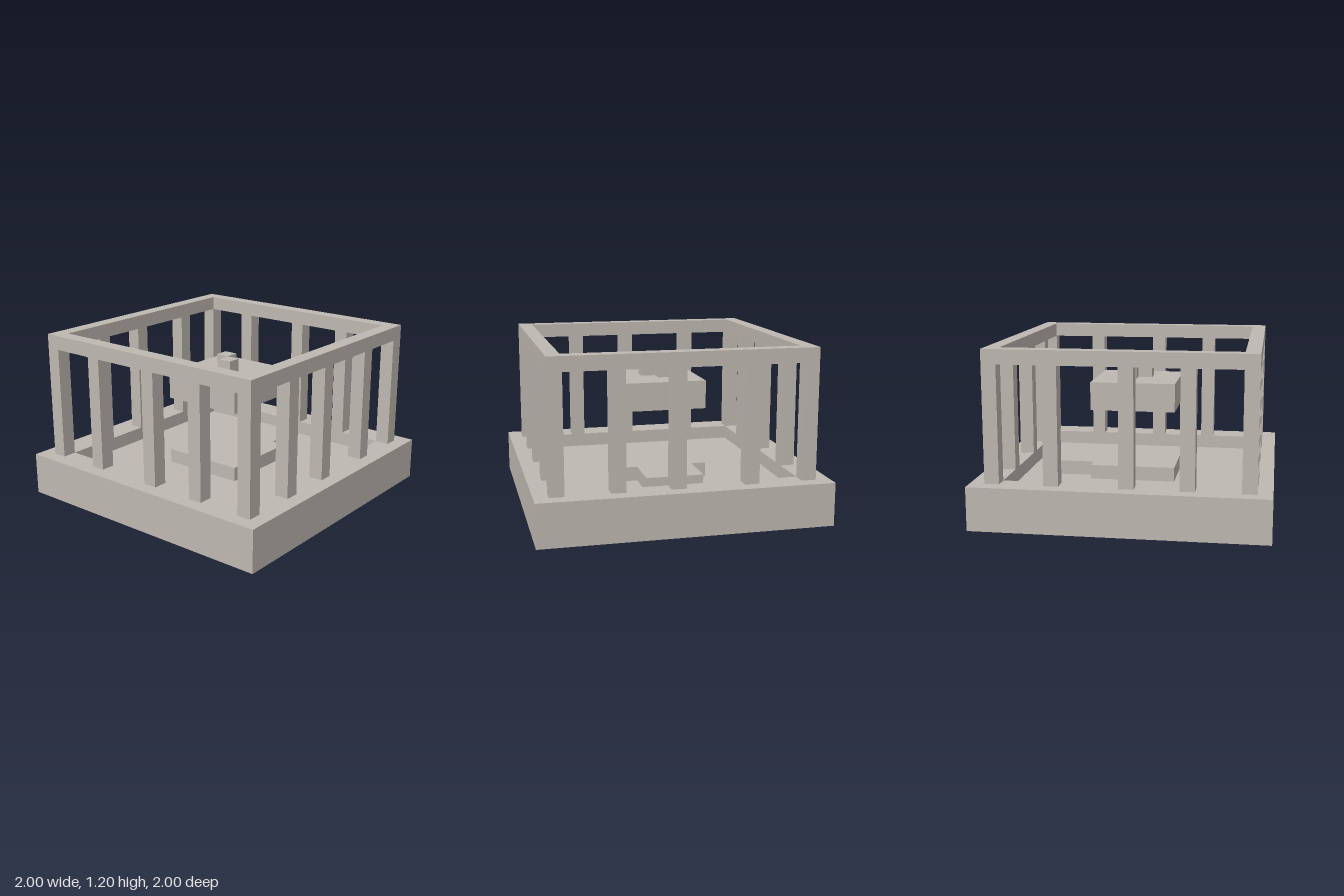
import * as THREE from 'three';

export function createModel() {
  const model = new THREE.Group();
  const stone = new THREE.MeshStandardMaterial({ color: 0xbfb8b2 });
  stone.name = 'paleStone';

  const add = (parent, name, geometry) => {
    const mesh = new THREE.Mesh(geometry, stone);
    mesh.name = name;
    parent.add(mesh);
    return mesh;
  };

  // Box given by its min and max on each axis
  const box = (parent, name, [x0, x1], [y0, y1], [z0, z1]) =>
    add(parent, name, new THREE.BoxGeometry(x1 - x0, y1 - y0, z1 - z0))
      .position.set((x0 + x1) / 2, (y0 + y1) / 2, (z0 + z1) / 2);

  const square = (Type, h) => new Type([
    new THREE.Vector2(-h, -h), new THREE.Vector2(h, -h),
    new THREE.Vector2(h, h), new THREE.Vector2(-h, h),
  ]);

  // Flat square ring lying between heights y0 and y1
  const ring = (name, outer, inner, y0, y1) => {
    const shape = square(THREE.Shape, outer);
    shape.holes.push(square(THREE.Path, inner));
    const geometry = new THREE.ExtrudeGeometry(shape, { depth: y1 - y0, bevelEnabled: false });
    geometry.rotateX(-Math.PI / 2).translate(0, y0, 0);
    add(model, name, geometry);
  };

  // Base tray with a sunken floor
  box(model, 'baseFloor', [-1, 1], [0, 0.2], [-1, 1]);
  ring('baseRim', 1, 0.8, 0.2, 0.3);

  // Top rail
  ring('topRail', 0.9, 0.8, 1.1, 1.2);

  // Posts: four corners, then three along each side
  const posts = new THREE.Group();
  posts.name = 'posts';
  model.add(posts);
  const span = [0.3, 1.1];
  const sides = [[-0.9, -0.8], [0.8, 0.9]];
  for (const side of sides) {
    for (const other of sides) box(posts, 'cornerPost', side, span, other);
    for (const start of [-0.5, 0, 0.4]) {
      const along = [start, start + 0.1];
      box(posts, 'frontOrBackPost', along, span, side);
      box(posts, 'sidePost', side, span, along);
    }
  }

  // Stepped platform on the sunken floor
  box(model, 'platform', [-0.3, 0.3], [0.2, 0.3], [-0.3, 0.3]);
  box(model, 'platformStep', [-0.2, 0.2], [0.2, 0.3], [-0.6, -0.3]);

  // Floating block with two small cubes on top
  box(model, 'floatingBlock', [-0.3, 0.3], [0.7, 0.9], [-0.3, 0.3]);
  box(model, 'backCube', [-0.1, 0], [0.9, 1], [-0.1, 0]);
  box(model, 'frontCube', [0, 0.1], [0.9, 1], [0, 0.1]);

  return model;
}
